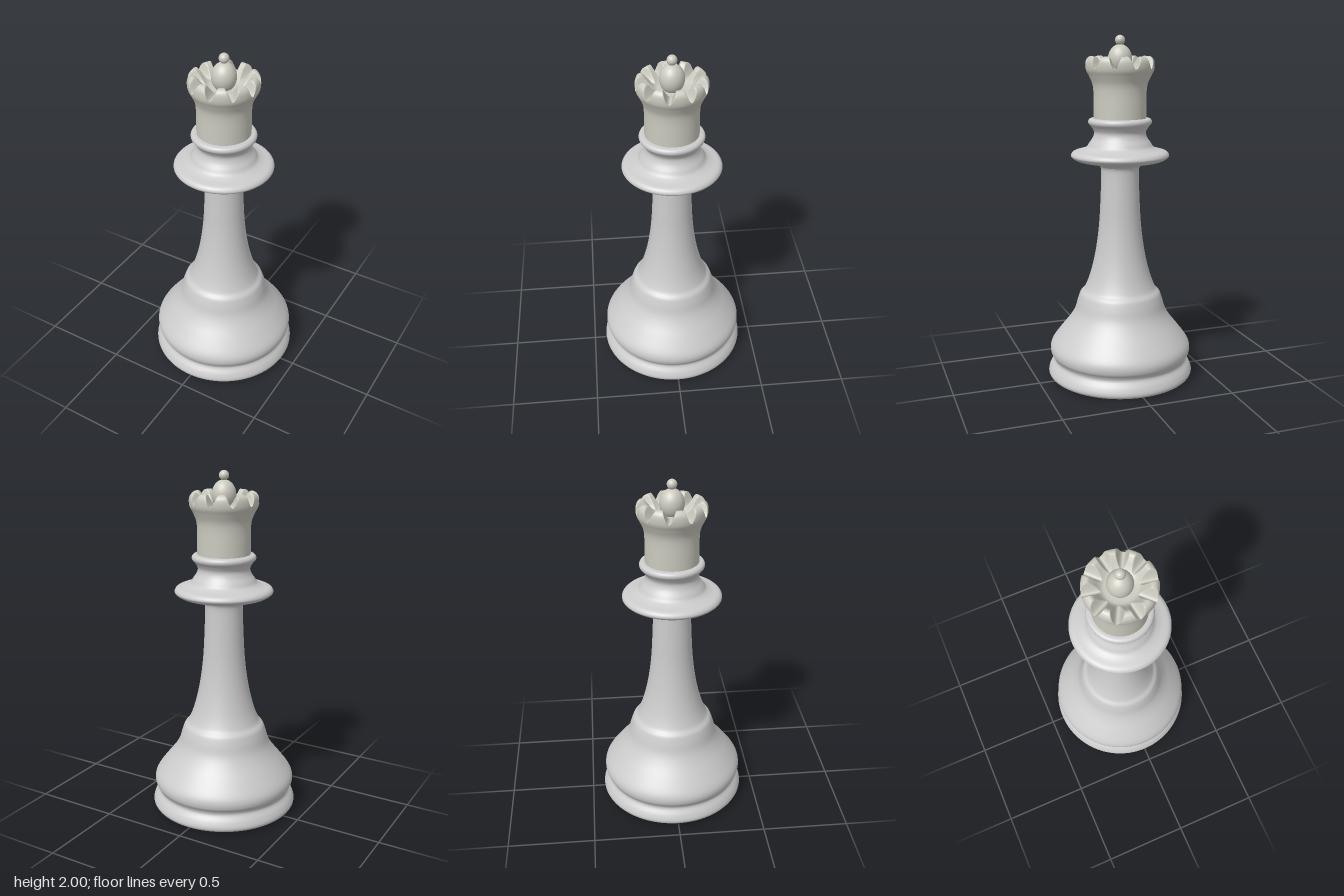
import * as THREE from 'three';

const SEGMENTS = 96;
const bodyMaterial = new THREE.MeshStandardMaterial({ color: 0xcccccc });
const crownMaterial = new THREE.MeshStandardMaterial({ color: 0xcbcabf });

// Smooth lathe through a few [radius, height] points, listed from the bottom up
function turned(name, points, material, divisions, segments = SEGMENTS) {
  const curve = new THREE.SplineCurve(points.map(([r, y]) => new THREE.Vector2(r, y)));
  const profile = curve.getPoints(divisions);
  profile.forEach((p) => { p.x = Math.max(p.x, 0); });
  const mesh = new THREE.Mesh(new THREE.LatheGeometry(profile, segments), material);
  mesh.name = name;
  return mesh;
}

function sphere(name, radius, y, stretch) {
  const mesh = new THREE.Mesh(new THREE.SphereGeometry(radius, 32, 24), crownMaterial);
  mesh.position.y = y;
  mesh.scale.y = stretch;
  mesh.name = name;
  return mesh;
}

// Flaring crown with a bowl on top and rounded grooves cut radially through its rim
function createCrown() {
  const grooves = 10, turn = -0.14, floor = 1.815;
  const crown = turned('crown', [
    [0.15, 1.535], [0.15, 1.6], [0.15, 1.68], [0.156, 1.73], [0.175, 1.775],
    [0.19, 1.805], [0.194, 1.835], [0.19, 1.862], [0.175, 1.88], [0.155, 1.882],
    [0.135, 1.862], [0.112, 1.832], [0.092, 1.812], [0.07, 1.806], [0.03, 1.806],
  ], crownMaterial, 84, 240);
  const pos = crown.geometry.attributes.position;
  const pitch = (Math.PI * 2) / grooves;
  for (let i = 0; i < pos.count; i++) {
    const x = pos.getX(i), z = pos.getZ(i);
    const angle = Math.atan2(x, -z) - turn;
    const off = angle - Math.round(angle / pitch) * pitch;
    const t = Math.hypot(x, z) * Math.sin(off);
    pos.setY(i, Math.min(pos.getY(i), floor + 65 * t * t));
  }
  crown.geometry.computeVertexNormals();
  // Match the normals along the lathe seam
  const normal = crown.geometry.attributes.normal;
  const row = pos.count / 241;
  for (let j = 0; j < row; j++) {
    const a = j, b = 240 * row + j;
    const n = new THREE.Vector3().fromBufferAttribute(normal, a)
      .add(new THREE.Vector3().fromBufferAttribute(normal, b)).normalize();
    normal.setXYZ(a, n.x, n.y, n.z);
    normal.setXYZ(b, n.x, n.y, n.z);
  }
  return crown;
}

export function createModel() {
  const model = new THREE.Group();
  model.name = 'chessPiece';

  // Flat underside
  const underside = new THREE.Mesh(new THREE.CircleGeometry(0.385, SEGMENTS), bodyMaterial);
  underside.rotation.x = Math.PI / 2;
  underside.position.y = 0.005;
  underside.name = 'underside';

  model.add(
    underside,
    // Foot ring and bell-shaped base
    turned('base', [
      [0.38, 0.005], [0.385, 0.005], [0.418, 0.02], [0.427, 0.042], [0.415, 0.075], [0.393, 0.108],
      [0.396, 0.13], [0.411, 0.155], [0.414, 0.19], [0.398, 0.228], [0.35, 0.292],
      [0.3, 0.355], [0.268, 0.41], [0.25, 0.47], [0.236, 0.51], [0.224, 0.526],
    ], bodyMaterial, 90),
    // Tapering stem
    turned('stem', [
      [0.224, 0.526], [0.205, 0.55], [0.178, 0.62], [0.152, 0.72], [0.133, 0.83], [0.12, 0.95],
      [0.112, 1.1], [0.108, 1.23], [0.114, 1.262],
    ], bodyMaterial, 60),
    // Wide collar and the waisted ring above it
    turned('collar', [
      [0.114, 1.262], [0.135, 1.278], [0.19, 1.288], [0.245, 1.299], [0.275, 1.316], [0.28, 1.332],
      [0.264, 1.35], [0.222, 1.361], [0.192, 1.376], [0.175, 1.4], [0.155, 1.43],
      [0.148, 1.46], [0.162, 1.488], [0.179, 1.508], [0.18, 1.526], [0.165, 1.538], [0.12, 1.54],
    ], bodyMaterial, 96),
    createCrown(),
    sphere('dome', 0.068, 1.868, 1.2),
    sphere('finial', 0.028, 1.972, 1),
  );
  return model;
}
